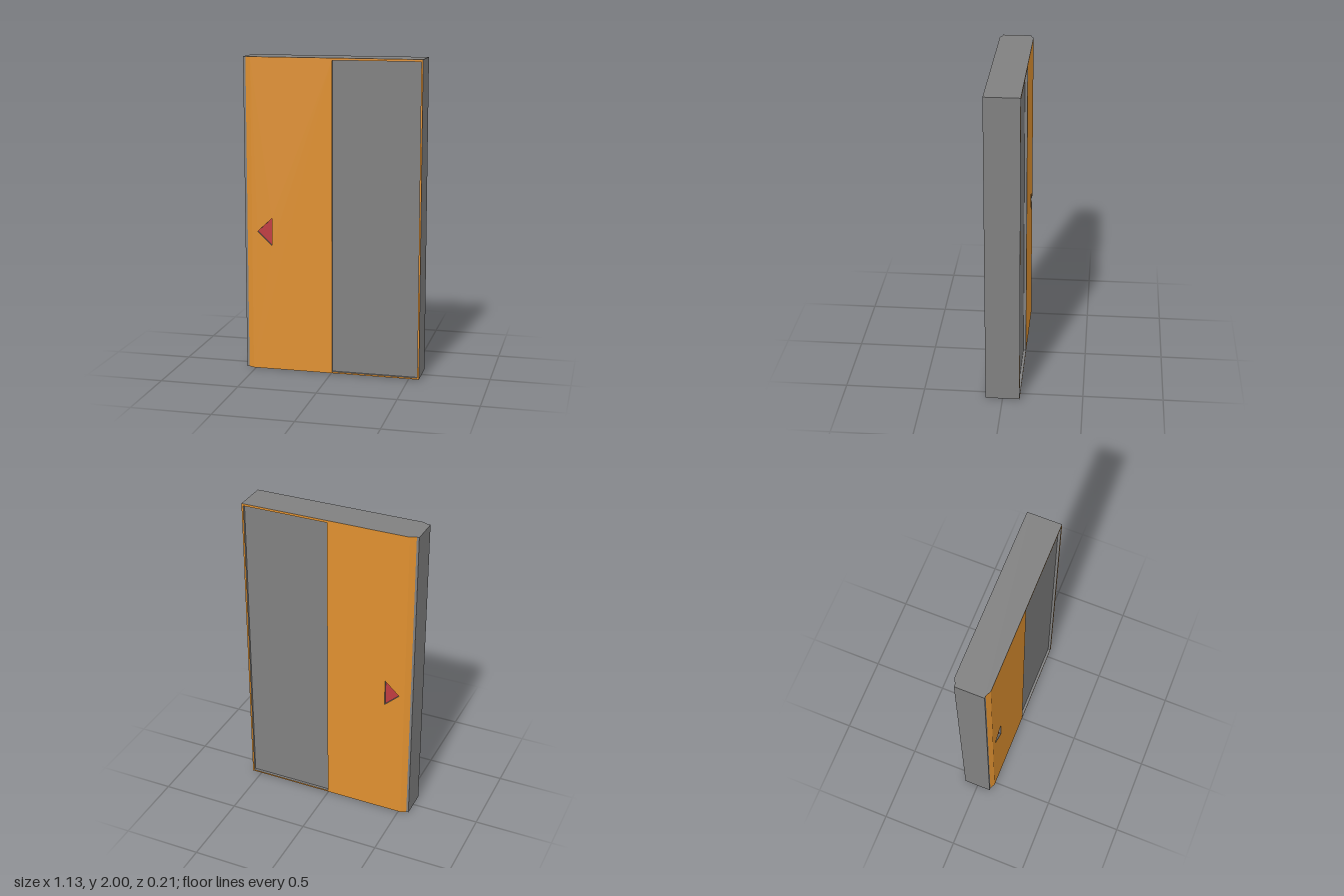
import * as THREE from 'three';

const HALF_W = 0.565, HEIGHT = 2;
const CORE_Z = 0.09, FACE_Z = 0.107;   // recess floor and outer face
const CHAMFER_X = [-0.55, -0.515];     // bevel on the leading edge

const grey = new THREE.MeshStandardMaterial({ name: 'greyMetal', color: 0x808080 });
const orange = new THREE.MeshStandardMaterial({ name: 'orangePaint', color: 0xdf9030 });
const red = new THREE.MeshStandardMaterial({ name: 'redArrow', color: 0xbf3c40 });

const points = (list) => list.map(([x, y]) => new THREE.Vector2(x, y));
const rect = (x0, y0, x1, y1) => points([[x0, y0], [x1, y0], [x1, y1], [x0, y1]]);
const arrowOutline = () => points([[-0.48, 0.9], [-0.385, 0.812], [-0.385, 0.988]]);

function addMesh(parent, name, geometry, material) {
  const mesh = new THREE.Mesh(geometry, material);
  mesh.name = name;
  parent.add(mesh);
  return mesh;
}

const extrude = (shape, depth) => new THREE.ExtrudeGeometry(shape, { depth, bevelEnabled: false });

// One door face: painted skin with two recesses, arrow plate and bevel
function createFace(name, side) {
  const face = new THREE.Group();
  face.name = name;

  const thickness = FACE_Z - CORE_Z;
  const skinShape = new THREE.Shape(rect(CHAMFER_X[1], 0, HALF_W, HEIGHT));
  skinShape.holes.push(new THREE.Path(rect(0.004, 0.009, 0.554, 1.986)));
  skinShape.holes.push(new THREE.Path(arrowOutline()));
  const skin = addMesh(face, 'paintedSkin', extrude(skinShape, thickness), [orange, grey]);
  skin.position.z = side > 0 ? CORE_Z : -FACE_Z;

  // Red floor of the arrow recess
  const plate = 0.003;
  const arrow = addMesh(face, 'arrow', extrude(new THREE.Shape(arrowOutline()), plate), red);
  arrow.position.z = side > 0 ? CORE_Z : -CORE_Z - plate;

  // Sloping bevel, a triangular prism running up the edge
  const [x0, x1] = CHAMFER_X;
  const wedge = new THREE.Shape(points([
    [x0, -side * CORE_Z], [x1, -side * CORE_Z], [x1, -side * FACE_Z],
  ]));
  addMesh(face, 'edgeBevel', extrude(wedge, HEIGHT).rotateX(-Math.PI / 2), [grey, orange]);
  return face;
}

export function createModel() {
  const door = new THREE.Group();
  door.name = 'slidingDoor';

  // Grey core forms the edges and the recessed panel floors
  const core = addMesh(door, 'core', new THREE.BoxGeometry(HALF_W * 2, HEIGHT, CORE_Z * 2), grey);
  core.position.y = HEIGHT / 2;

  door.add(createFace('frontFace', 1), createFace('backFace', -1));
  return door;
}
